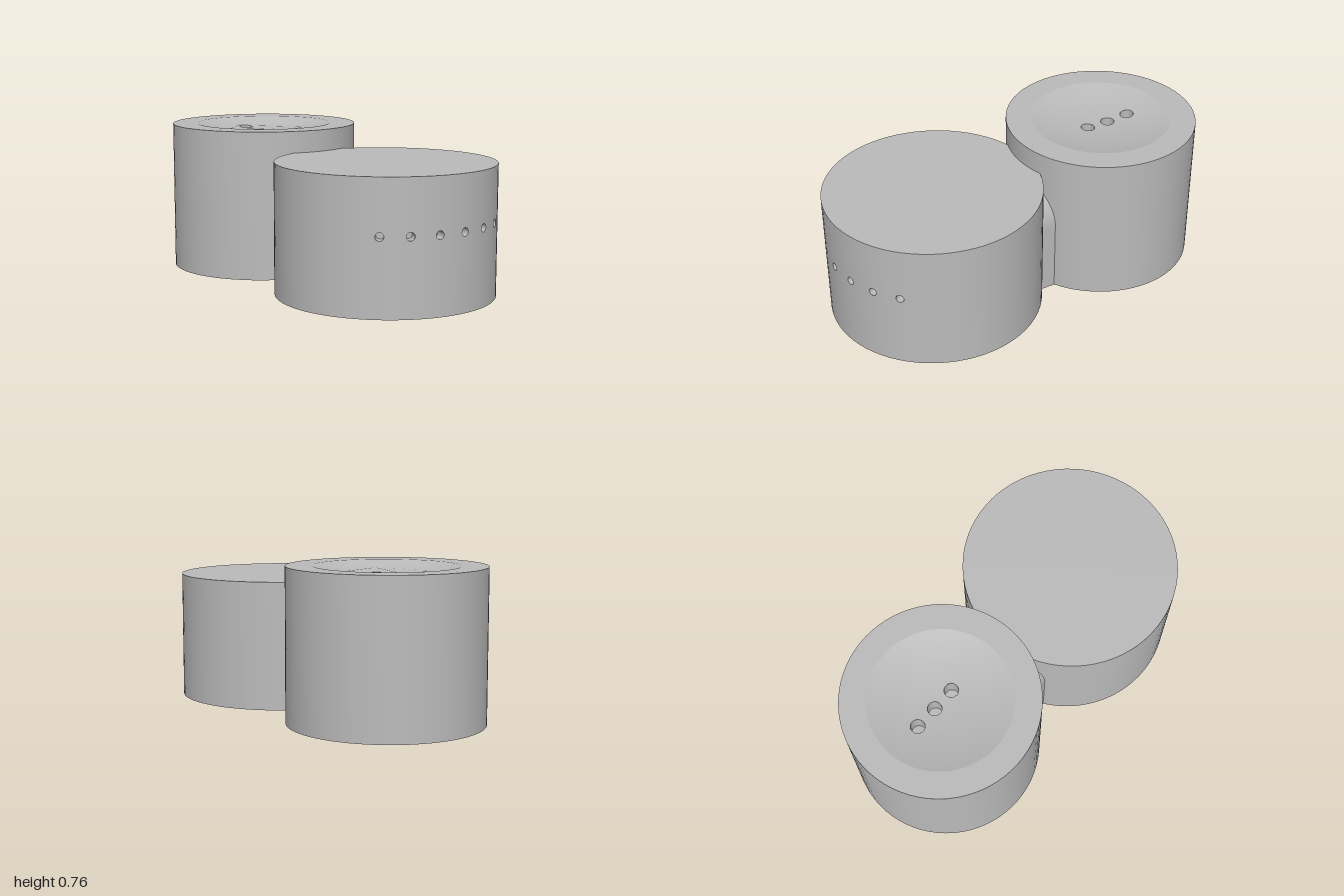
import * as THREE from 'three';
import { mergeGeometries, toCreasedNormals } from 'three/addons/utils/BufferGeometryUtils.js';

const SEG = 72;
const STEP = (Math.PI * 2) / SEG;

// Tall pot: centre, radius, height and its concave top
const TALL = { x: -0.515, r: 0.485, h: 0.76 };
const DISH = { r: 0.355, inner: 0.215, depth: 0.045 };
DISH.R = (DISH.r ** 2 + DISH.depth ** 2) / (2 * DISH.depth);
const dishCentreY = TALL.h - DISH.depth + DISH.R;
const dishY = (x, z) => dishCentreY - Math.sqrt(DISH.R ** 2 - x * x - z * z);
const TOP_HOLES = [-0.165, -0.045, 0.075];
const TOP_HOLE_R = 0.035;

// Wide pot: centre, radius, height and its row of side holes
const WIDE = { x: 0.46, r: 0.54, h: 0.65, holeY: 0.38, holeR: 0.02 };

const sharp = (geometry, angle = 0.2) => toCreasedNormals(geometry, angle);

function circlePath(x, y, r, n = 24) {
  const path = new THREE.Path();
  path.absarc(x, y, r, 0, Math.PI * 2, true);
  return new THREE.Path(path.getPoints(n).slice(0, -1));
}

// Blind round hole sunk below a curved surface
function pocket(r, depth, surface) {
  const profile = [[r, 0], [r, -depth], [0, -depth]].map(p => new THREE.Vector2(...p));
  const g = new THREE.LatheGeometry(profile, 24);
  const p = g.attributes.position;
  for (let i = 0; i < p.count; i++) p.setY(i, p.getY(i) + surface(p.getX(i), p.getZ(i)));
  return sharp(g, 0.5);
}

// Turned body with filling hole underneath and the outer band of the dish
function tallBody() {
  const profile = [[0, 0.55], [0.25, 0.55], [0.25, 0.06], [0.134, 0.06], [0.134, 0],
    [TALL.r, 0], [TALL.r, TALL.h]];
  for (let i = 0; i <= 6; i++) {
    const r = THREE.MathUtils.lerp(DISH.r, DISH.inner, i / 6);
    profile.push([r, dishY(r, 0)]);
  }
  return sharp(new THREE.LatheGeometry(profile.map(p => new THREE.Vector2(...p)), SEG));
}

// Middle of the dish, pierced by three holes and bent onto a sphere
function dishMiddle() {
  const ring = [];
  for (let i = 0; i < SEG; i++) {
    ring.push(new THREE.Vector2(Math.cos(i * STEP) * DISH.inner, Math.sin(i * STEP) * DISH.inner));
  }
  const shape = new THREE.Shape(ring);
  TOP_HOLES.forEach(x => shape.holes.push(circlePath(x, 0, TOP_HOLE_R)));
  const g = new THREE.ShapeGeometry(shape);
  const p = g.attributes.position, n = g.attributes.normal;
  for (let i = 0; i < p.count; i++) {
    const x = p.getX(i), z = -p.getY(i), y = dishY(x, z);
    p.setXYZ(i, x, y, z);
    n.setXYZ(i, -x / DISH.R, (dishCentreY - y) / DISH.R, -z / DISH.R);
  }
  return g;
}

// Wall of narrow upright panels; seven of them are pierced
function wideWall() {
  const half = (WIDE.r * STEP) / 2;
  const panels = [];
  for (let k = 0; k < SEG; k++) {
    const offset = k > SEG / 2 ? k - SEG : k;
    const shape = new THREE.Shape([[-half, 0], [half, 0], [half, WIDE.h], [-half, WIDE.h]]
      .map(p => new THREE.Vector2(...p)));
    if (offset % 3 === 0 && Math.abs(offset) <= 9) {
      shape.holes.push(circlePath(0, WIDE.holeY, WIDE.holeR));
    }
    const g = new THREE.ShapeGeometry(shape);
    const p = g.attributes.position, n = g.attributes.normal;
    for (let i = 0; i < p.count; i++) {
      const a = k * STEP + p.getX(i) / WIDE.r;
      p.setXYZ(i, Math.cos(a) * WIDE.r, p.getY(i), -Math.sin(a) * WIDE.r);
      n.setXYZ(i, Math.cos(a), 0, -Math.sin(a));
    }
    panels.push(g);
  }
  return mergeGeometries(panels);
}

// Arched web joining the two pots
function webGeometry() {
  const w = 0.245, spring = 0.37;
  const shape = new THREE.Shape();
  shape.moveTo(-w, 0);
  shape.lineTo(w, 0);
  shape.lineTo(w, spring);
  shape.absarc(0, spring, w, 0, Math.PI, false);
  shape.lineTo(-w, 0);
  const g = new THREE.ExtrudeGeometry(shape, { depth: 0.36, bevelEnabled: false, curveSegments: 32 });
  g.rotateY(Math.PI / 2);
  g.translate(-0.24, 0, 0);
  return sharp(g, 0.5);
}

export function createModel() {
  const grey = new THREE.MeshStandardMaterial({ color: 0xbbbbbb, side: THREE.DoubleSide });
  grey.name = 'plain grey';

  const model = new THREE.Group();
  model.name = 'shakerPair';
  const add = (parent, name, geometry) => {
    const mesh = new THREE.Mesh(geometry, grey);
    mesh.name = name;
    parent.add(mesh);
    return mesh;
  };

  // Tall pot
  const tall = new THREE.Group();
  tall.name = 'tallShaker';
  tall.position.x = TALL.x;
  add(tall, 'tallBody', tallBody());
  add(tall, 'dishMiddle', dishMiddle());
  TOP_HOLES.forEach(x => {
    const hole = add(tall, 'topHole', pocket(TOP_HOLE_R, 0.1, (px, pz) => dishY(px + x, pz)));
    hole.position.x = x;
  });

  // Wide pot
  const wide = new THREE.Group();
  wide.name = 'wideShaker';
  wide.position.x = WIDE.x;
  add(wide, 'wideWall', wideWall());
  const disc = new THREE.CircleGeometry(WIDE.r, SEG, STEP / 2);
  add(wide, 'wideTop', disc.clone().rotateX(-Math.PI / 2)).position.y = WIDE.h;
  add(wide, 'wideBase', disc.clone().rotateX(Math.PI / 2));
  const sideHole = pocket(WIDE.holeR, 0.06, (x, z) => Math.sqrt(WIDE.r ** 2 - z * z));
  sideHole.rotateZ(-Math.PI / 2);
  for (let i = -3; i <= 3; i++) {
    const hole = add(wide, 'sideHole', sideHole);
    hole.position.y = WIDE.holeY;
    hole.rotation.y = i * 3 * STEP;
  }

  model.add(tall, wide);
  add(model, 'joiningWeb', webGeometry());
  return model;
}
